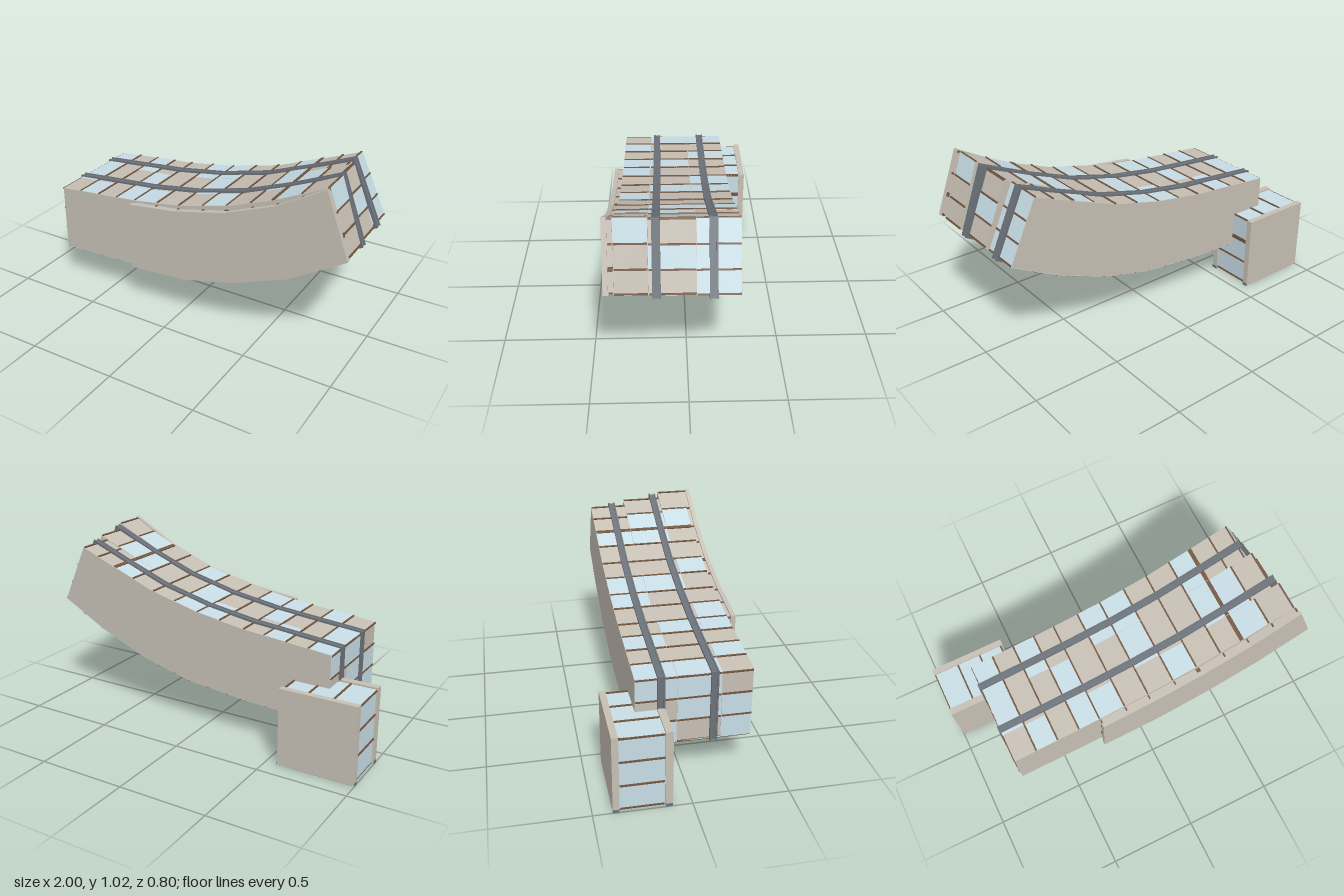
import * as THREE from 'three';

const mat = (color) => new THREE.MeshStandardMaterial({ color, flatShading: true });
const STONE = mat(0xc6bfb4), GLASS = mat(0xc8dde6), BROWN = mat(0x735741), STEEL = mat(0x6c727a);

// Moves every edge of a counter-clockwise outline outwards by d, with mitred corners
function offset(pts, d) {
  const n = pts.length;
  const normal = (a, b) => {
    const l = Math.hypot(b[0] - a[0], b[1] - a[1]);
    return [(b[1] - a[1]) / l, (a[0] - b[0]) / l];
  };
  return pts.map((p, i) => {
    const m = normal(pts[(i + n - 1) % n], p), k = normal(p, pts[(i + 1) % n]);
    const s = d / (1 + m[0] * k[0] + m[1] * k[1]);
    return [p[0] + (m[0] + k[0]) * s, p[1] + (m[1] + k[1]) * s];
  });
}

// Slab with the given side outline, from z0 to z1
function slab(parent, name, pts, z0, z1, material) {
  const shape = new THREE.Shape(pts.map((p) => new THREE.Vector2(p[0], p[1])));
  const geo = new THREE.ExtrudeGeometry(shape, { depth: z1 - z0, bevelEnabled: false });
  const mesh = new THREE.Mesh(geo, material);
  mesh.name = name;
  mesh.position.z = z0;
  parent.add(mesh);
}

// Thin plate lying on an edge between parameters t0 and t1
function plate(parent, name, a, b, t0, t1, z0, z1, thick, material) {
  const dx = b[0] - a[0], dy = b[1] - a[1], l = Math.hypot(dx, dy), t = (t0 + t1) / 2;
  const mesh = new THREE.Mesh(new THREE.BoxGeometry(l * (t1 - t0), thick, z1 - z0), material);
  mesh.name = name;
  mesh.position.set(a[0] + dx * t, a[1] + dy * t, (z0 + z1) / 2);
  mesh.rotation.z = Math.atan2(dy, dx);
  parent.add(mesh);
}

// Wraps a slab outline in panes separated by mullions; isGlass picks the glazed panes
function cladding(parent, pts, z0, z1, isGlass, spacing = 0.125) {
  pts.forEach((a, e) => {
    const b = pts[(e + 1) % pts.length];
    const l = Math.hypot(b[0] - a[0], b[1] - a[1]);
    const n = Math.max(1, Math.round(l / spacing));
    for (let i = 0; i < n; i++) {
      if (isGlass(e, i)) plate(parent, 'glassPane', a, b, i / n, (i + 1) / n, z0 + 0.001, z1 - 0.001, 0.005, GLASS);
      const w = (e * 3 + i) % 8 === 5 ? 0.022 : 0.009;
      const t = Math.max(i / n, w / l / 2);
      plate(parent, 'mullion', a, b, t - w / l / 2, t + w / l / 2, z0 + 0.002, z1 - 0.002, 0.012, BROWN);
    }
  });
}

// Side outline of the curved hall, with its raised end given by the lower and upper corner
const hall = (low, high) => [
  [-0.78, 0.225], [-0.29, 0.245], [0.07, 0.282], [0.38, 0.36], [0.68, 0.483], low,
  high, [0.58, 0.873], [0.31, 0.77], [0.02, 0.697], [-0.27, 0.652], [-0.78, 0.605],
];

export function createModel() {
  const model = new THREE.Group();
  model.name = 'curvedBuilding';

  // Three staggered bands of the hall, front to back
  const bands = [
    { name: 'frontBand', z: [0.19, 0.35], low: [0.98, 0.66], high: [0.86, 1.008], end: false },
    { name: 'middleBand', z: [-0.037, 0.19], low: [0.962, 0.645], high: [0.828, 0.98], end: false },
    { name: 'backBand', z: [-0.25, -0.037], low: [0.942, 0.625], high: [0.79, 0.957], end: true },
  ];
  bands.forEach(({ name, z, low, high, end }, k) => {
    const band = new THREE.Group();
    band.name = name;
    model.add(band);
    const pts = hall(low, high);
    slab(band, 'bandBody', pts, z[0], z[1], STONE);
    cladding(band, pts, z[0], z[1], (e, i) => {
      if (e < 5) return true;                      // underside
      if (e === 5) return end || (i + k) % 3 === 2; // raised end
      if (e === 11) return (i + k) % 3 !== 0;       // low end
      return (e * 2 + i * 3 + k) % 5 < 2;           // roof
    });
  });

  // Steel ribs that wrap the hall
  [
    { z: [0.132, 0.172], low: [0.972, 0.643], high: [0.846, 0.99] },
    { z: [-0.138, -0.098], low: [0.95, 0.623], high: [0.798, 0.962] },
  ].forEach(({ z, low, high }) => {
    const pts = hall(low, high);
    slab(model, 'rib', offset(pts, 0.008), z[0], z[1], STEEL);
    for (const [a, b] of [[z[0], z[0] + 0.008], [z[1] - 0.008, z[1]]]) {
      slab(model, 'ribFlange', offset(pts, 0.012), a, b, STEEL);
    }
  });

  // Front wall panel and the strip of hall behind it
  const panel = [
    [-0.275, 0.255], [0.07, 0.28], [0.38, 0.357], [0.69, 0.48], [0.997, 0.67],
    [0.87, 1.018], [0.6, 0.865], [0.32, 0.755], [0.02, 0.685], [-0.275, 0.65],
  ];
  slab(model, 'frontWall', panel, 0.375, 0.4, STONE);
  const inner = offset(panel, -0.008);
  slab(model, 'frontBandEdge', inner, 0.35, 0.375, STONE);
  cladding(model, inner, 0.35, 0.375, (e) => e < 4);

  // Glazed side block between two walls
  const block = new THREE.Group();
  block.name = 'sideBlock';
  model.add(block);
  const rect = [[-1, 0], [-0.565, 0], [-0.565, 0.437], [-1, 0.437]];
  const core = offset(rect, -0.012);
  slab(block, 'glassCore', core, -0.366, -0.138, GLASS);
  cladding(block, core, -0.366, -0.138, () => false, 0.13);
  for (const [z0, z1] of [[-0.4, -0.366], [-0.138, -0.1]]) {
    slab(block, 'blockWall', offset(rect, -0.002), z0, z1, STONE);
    plate(block, 'wallFoot', [-1, 0.008], [-0.565, 0.008], 0, 1, z0 + 0.002, z1 - 0.002, 0.016, STEEL);
  }
  return model;
}
